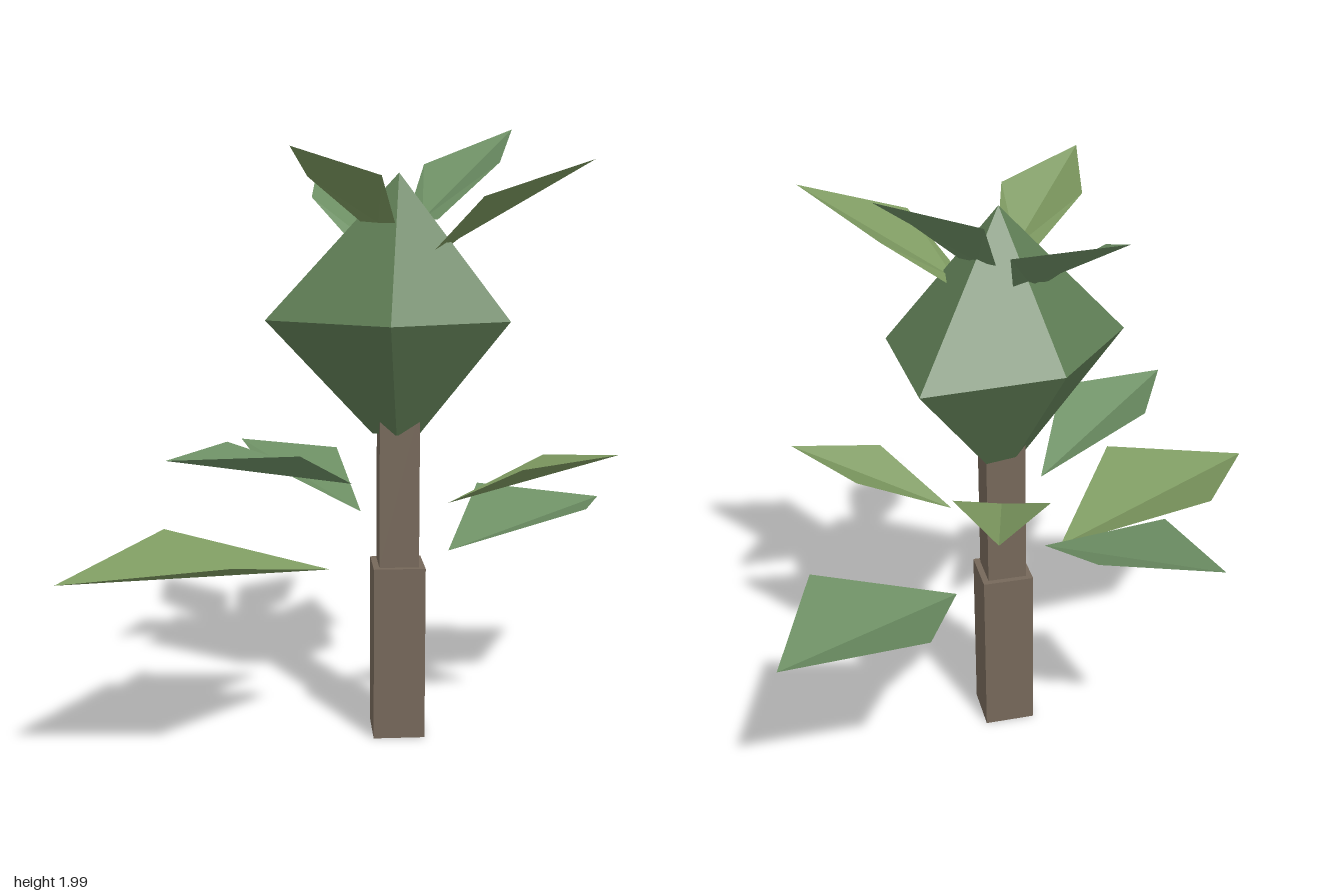
import * as THREE from 'three';

const mat = (color, side = THREE.FrontSide) =>
  new THREE.MeshStandardMaterial({ color, flatShading: true, side });
const bark = mat(0x76685a);
const foliage = mat(0x5f7d55);
const greenLeaf = mat(0x6d8f64, THREE.DoubleSide);
const yellowLeaf = mat(0x7d9960, THREE.DoubleSide);

// Axis of trunk and crown
const CX = 0.063, CZ = 0.087;

function add(parent, name, geometry, material) {
  const mesh = new THREE.Mesh(geometry, material);
  mesh.name = name;
  parent.add(mesh);
  return mesh;
}

// Four-sided trunk piece standing corner-on to the front
function trunkPiece(parent, name, radius, y0, y1) {
  const geo = new THREE.CylinderGeometry(radius, radius, y1 - y0, 4);
  add(parent, name, geo, bark).position.set(CX, (y0 + y1) / 2, CZ);
}

// Uneven five-sided crown: a unit lathe with its own radius at each corner
function crownGeometry() {
  const radii = [0.436, 0.305, 0.43, 0.338, 0.373];
  const profile = [[0, 1.01], [0.2, 1.01], [1, 1.38], [0, 1.835]]
    .map(([r, y]) => new THREE.Vector2(r, y));
  const geo = new THREE.LatheGeometry(profile, 5, Math.PI / 2);
  const p = geo.attributes.position;
  for (let i = 0; i < p.count; i++) {
    const r = radii[Math.floor(i / profile.length) % 5];
    p.setX(i, p.getX(i) * r);
    p.setZ(i, p.getZ(i) * r);
  }
  return geo;
}

// Leaf folded along the midrib; a base width above zero gives a blunt stem end
function leafGeometry(base, tip, sideA, sideB, width) {
  const b = new THREE.Vector3(...base), t = new THREE.Vector3(...tip);
  const a = new THREE.Vector3(...sideA), c = new THREE.Vector3(...sideB);
  const across = new THREE.Vector3(t.z - b.z, 0, b.x - t.x).setLength(width / 2);
  if (across.dot(a.clone().sub(c)) < 0) across.negate();
  const ba = b.clone().add(across), bc = b.clone().sub(across);
  const tris = [b, a, t, b, t, c];
  if (width > 0) tris.push(b, ba, a, b, c, bc);
  // Keep the upper side facing up
  const up = a.clone().sub(b).cross(t.clone().sub(b)).y > 0;
  if (!up) for (let i = 0; i < tris.length; i += 3) [tris[i + 1], tris[i + 2]] = [tris[i + 2], tris[i + 1]];
  const geo = new THREE.BufferGeometry().setFromPoints(tris);
  geo.computeVertexNormals();
  return geo;
}

// Each leaf: name, material, base, tip, two side corners
const trunkLeaves = [
  ['lowerLeftLeaf', greenLeaf, [0.28, 0.58, 0.13], [1, 0.67, 0.27], [0.6, 0.72, 0.47], [0.71, 0.72, -0.07]],
  ['lowerRightLeaf', yellowLeaf, [-0.16, 0.58, -0.01], [-1, 0.65, -0.32], [-0.5, 0.71, -0.42], [-0.69, 0.71, 0.09]],
  ['lowerBackLeaf', greenLeaf, [0.07, 0.72, -0.08], [0.16, 0.88, -0.75], [-0.05, 0.87, -0.45], [0.3, 0.87, -0.4]],
  ['middleFrontLeaf', yellowLeaf, [0.12, 0.79, 0.25], [0.32, 0.98, 0.75], [0.1, 0.94, 0.55], [0.36, 0.94, 0.45]],
  ['middleRightLeaf', greenLeaf, [-0.11, 0.86, 0.04], [-0.79, 1.02, -0.06], [-0.44, 1.015, -0.18], [-0.49, 1.02, 0.18]],
  ['middleLeftLeaf', yellowLeaf, [0.22, 0.93, -0.01], [0.68, 1.1, -0.29], [0.37, 1.08, -0.275], [0.52, 1.09, -0.03]],
];
const crownLeaves = [
  ['topLeftLeaf', greenLeaf, [0.17, 1.69, 0.095], [0.65, 1.99, 0.1], [0.37, 1.87, -0.06], [0.36, 1.87, 0.26]],
  ['topRightLeaf', yellowLeaf, [-0.04, 1.68, 0.09], [-0.45, 1.9, 0.11], [-0.22, 1.82, -0.04], [-0.2, 1.82, 0.24]],
  ['topFrontLeaf', yellowLeaf, [0.11, 1.6, 0.22], [0.29, 1.87, 0.66], [0.02, 1.76, 0.45], [0.34, 1.76, 0.32]],
  ['topBackLeaf', greenLeaf, [0.07, 1.61, -0.03], [0.26, 1.86, -0.45], [0.02, 1.76, -0.25], [0.3, 1.77, -0.1]],
];

export function createModel() {
  const plant = new THREE.Group();
  plant.name = 'plant';

  trunkPiece(plant, 'lowerTrunk', 0.119, 0, 0.575);
  trunkPiece(plant, 'upperTrunk', 0.091, 0.575, 1.1);
  add(plant, 'crown', crownGeometry(), foliage).position.set(CX, 0, CZ);

  for (const [leaves, width] of [[trunkLeaves, 0], [crownLeaves, 0.13]])
    for (const [name, material, ...corners] of leaves)
      add(plant, name, leafGeometry(...corners, width), material);

  return plant;
}
